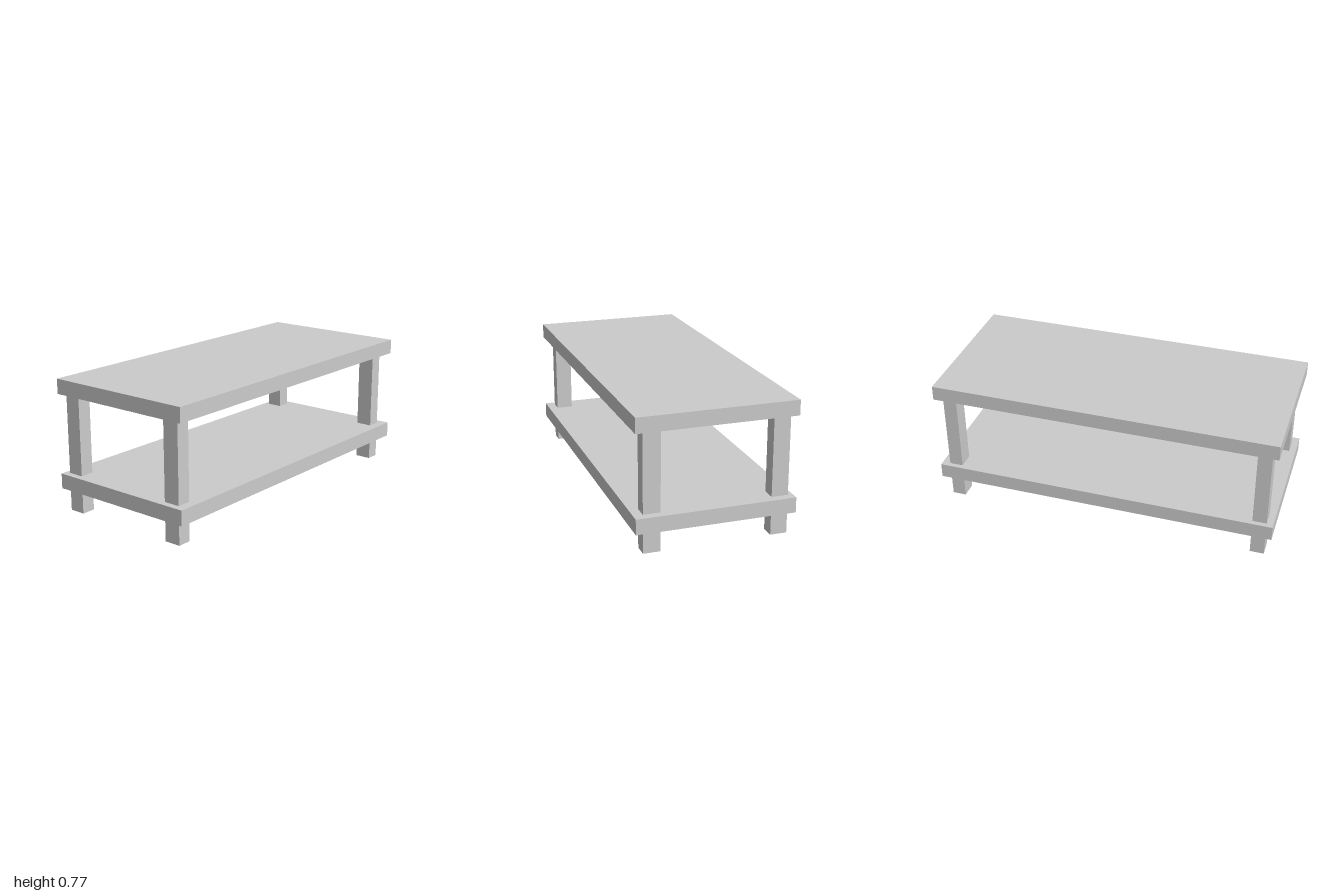
import * as THREE from 'three';

const material = new THREE.MeshStandardMaterial({ color: 0xcccccc, side: THREE.DoubleSide });

// Hollow box, open underneath, given by its extents on each axis
function openBox(name, [x0, x1], [y0, y1], [z0, z1]) {
  const geometry = new THREE.BoxGeometry(x1 - x0, y1 - y0, z1 - z0);
  const index = Array.from(geometry.index.array);
  index.splice(18, 6); // drop the bottom face
  geometry.setIndex(index);
  geometry.clearGroups();
  const mesh = new THREE.Mesh(geometry, material);
  mesh.name = name;
  mesh.position.set((x0 + x1) / 2, (y0 + y1) / 2, (z0 + z1) / 2);
  return mesh;
}

export function createModel() {
  const table = new THREE.Group();
  table.name = 'table';

  // Two equal slabs: table top and lower shelf
  const width = [-1, 1], depth = [-0.449, 0.449];
  table.add(openBox('tableTop', width, [0.682, 0.768], depth));
  table.add(openBox('lowerShelf', width, [0.134, 0.221], depth));

  // Four legs passing through the shelf and ending inside the top
  const sides = { Left: [0.873, 0.953], Right: [-0.962, -0.881] };
  const ends = { front: [0.299, 0.396], back: [-0.421, -0.326] };
  for (const [side, x] of Object.entries(sides)) {
    for (const [end, z] of Object.entries(ends)) {
      table.add(openBox(`${end}${side}Leg`, x, [0, 0.725], z));
    }
  }
  return table;
}
